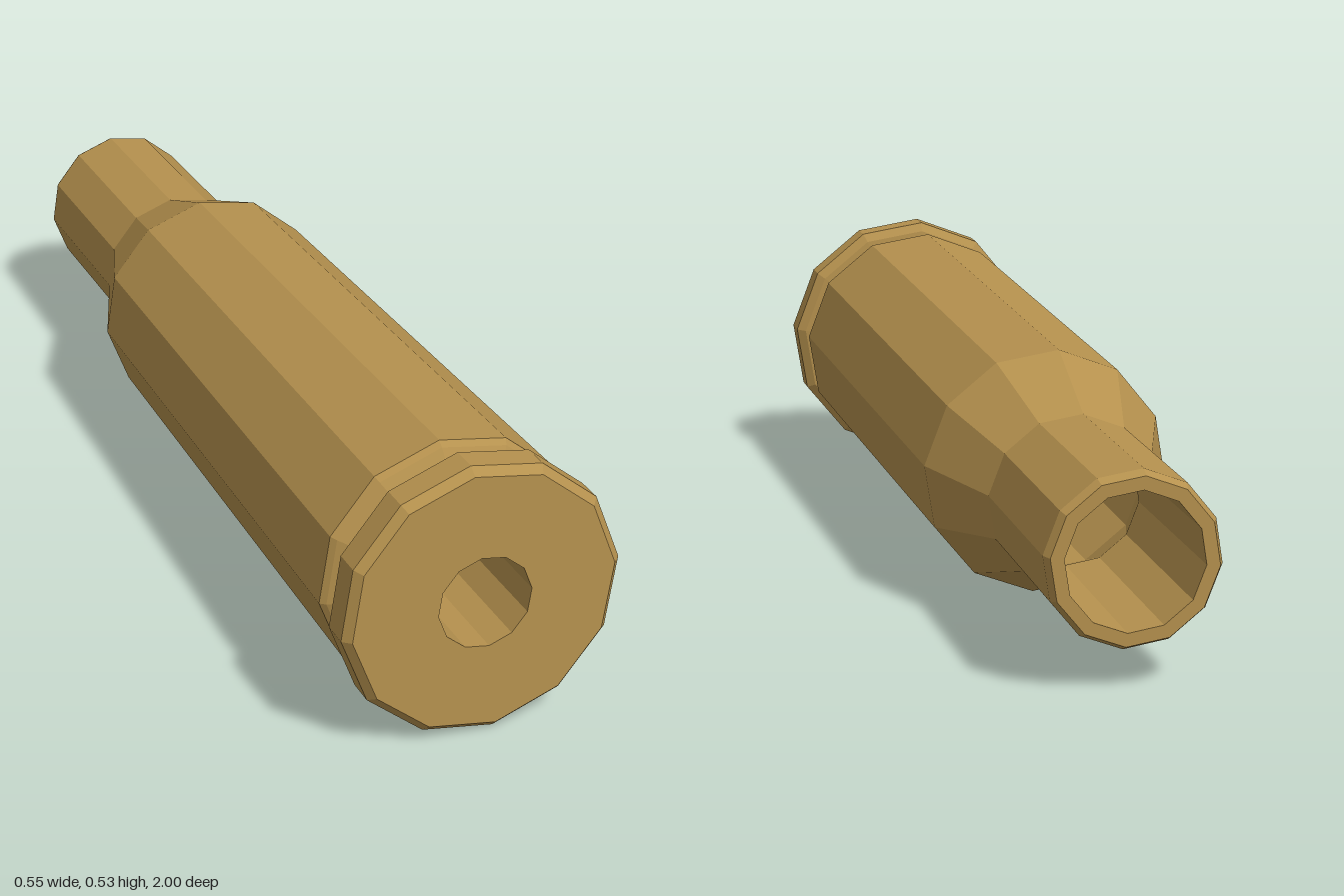
import * as THREE from 'three';

const SIDES = 12;
const PHASE = THREE.MathUtils.degToRad(5.8);

export function createModel() {
  const brass = new THREE.MeshStandardMaterial({ color: 0xb5914e, flatShading: true });
  const group = new THREE.Group();
  group.name = 'cartridgeCase';

  // Twelve-sided turned part along z; profile is [radius, z], outside runs towards +z
  const turn = (name, profile) => {
    const points = profile.map(([r, z]) => new THREE.Vector2(r, z));
    const geometry = new THREE.LatheGeometry(points, SIDES, PHASE).toNonIndexed();
    geometry.rotateX(Math.PI / 2);
    geometry.computeVertexNormals();
    const mesh = new THREE.Mesh(geometry, brass);
    mesh.name = name;
    group.add(mesh);
  };

  // Neck with bevelled lip
  turn('neck', [[0.127, -0.993], [0.152, -0.993], [0.161, -0.975], [0.162, -0.575]]);
  // Sloped shoulder and tapered body
  turn('shoulder', [[0.162, -0.575], [0.238, -0.365]]);
  turn('body', [[0.238, -0.365], [0.254, 0.842]]);
  // Extractor groove
  turn('groove', [[0.254, 0.842], [0.244, 0.852], [0.22, 0.865], [0.22, 0.903]]);
  // Chamfered rim and flat base with the pocket opening
  turn('rim', [[0.22, 0.903], [0.25, 0.907], [0.268, 0.92], [0.268, 0.974], [0.253, 0.99]]);
  turn('base', [[0.253, 0.99], [0.09, 0.99]]);
  // Primer pocket through the base
  turn('primerPocket', [[0.09, 0.99], [0.09, 0.7]]);
  // Hollow inside, following the outer wall
  turn('cavity', [[0.09, 0.7], [0.215, 0.7], [0.2, -0.36], [0.127, -0.57], [0.127, -0.993]]);

  // The case lies slightly skewed
  group.rotation.set(-0.018, 0.036, 0);
  group.position.set(-0.027, 0.253, 0);

  const model = new THREE.Group();
  model.name = 'model';
  model.add(group);
  return model;
}
